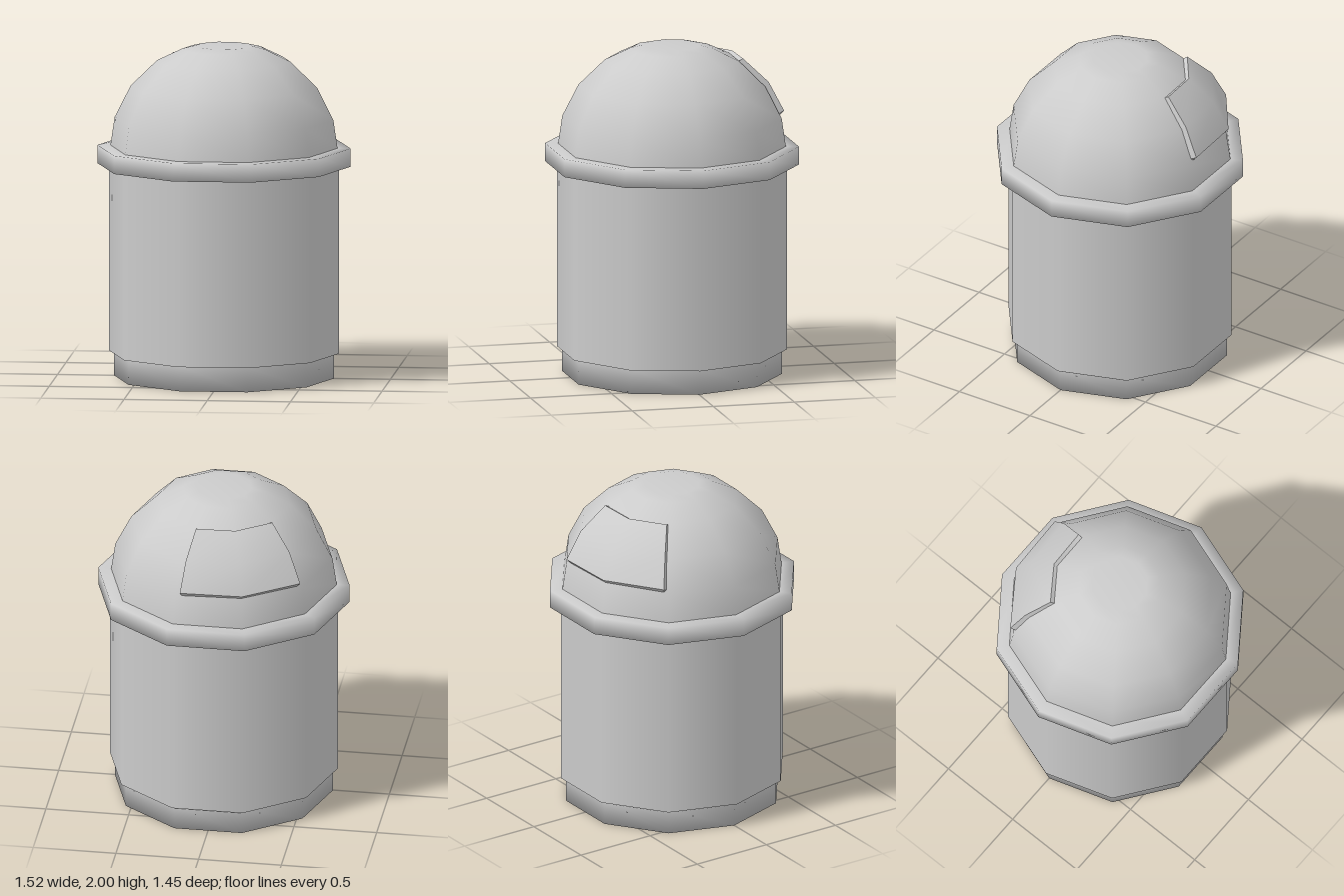
import * as THREE from 'three';
import { toCreasedNormals } from 'three/addons/utils/BufferGeometryUtils.js';

const material = new THREE.MeshStandardMaterial({ color: 0xcccccc });
const SIDES = 10;

// Ten-sided turned part, profile listed from bottom to top as [radius, y]
function turned(name, profile) {
  const points = profile.map(([r, y]) => new THREE.Vector2(r, y));
  const mesh = new THREE.Mesh(new THREE.LatheGeometry(points, SIDES, Math.PI / 2), material);
  mesh.name = name;
  return mesh;
}

// Raised panel on the dome: a grid whose border rows and columns sink into the dome
function raisedPanel() {
  const rows = [[0.63, 1.56], [0.67, 1.6], [0.578, 1.775], [0.425, 1.918], [0.38, 1.89]];
  const columns = [217, 218.5, 252, 284.5, 286];
  const n = columns.length;
  const positions = [];
  const index = [];
  rows.forEach(([r, y], i) => columns.forEach((degrees, j) => {
    const a = THREE.MathUtils.degToRad(degrees);
    const sunk = j === 0 || j === n - 1;
    const radius = r - (sunk ? 0.04 : 0);
    positions.push(radius * Math.cos(a), y - (sunk ? 0.02 : 0), radius * Math.sin(a));
    if (i < rows.length - 1 && j < n - 1) {
      const k = i * n + j;
      index.push(k, k + n, k + 1, k + 1, k + n, k + n + 1);
    }
  }));
  const geometry = new THREE.BufferGeometry();
  geometry.setAttribute('position', new THREE.Float32BufferAttribute(positions, 3));
  geometry.setIndex(index);
  const mesh = new THREE.Mesh(toCreasedNormals(geometry, 0.7), material);
  mesh.name = 'domePanel';
  return mesh;
}

export function createModel() {
  const model = new THREE.Group();
  model.name = 'domedCanister';
  model.add(
    // Foot, with its underside blended softly into the wall
    turned('base', [[0, 0], [0.66, 0], [0.66, 0.15]]),
    // Small overhang of the body above the foot
    turned('bodyUnderside', [[0.65, 0.15], [0.69, 0.15]]),
    turned('body', [[0.69, 0.15], [0.69, 1.3]]),
    turned('rim', [[0.67, 1.28], [0.76, 1.28], [0.76, 1.39], [0.67, 1.39]]),
    turned('dome', [[0.685, 1.37], [0.682, 1.39], [0.657, 1.56], [0.56, 1.752],
      [0.402, 1.907], [0.25, 1.98], [0.17, 2], [0, 2]]),
    raisedPanel()
  );
  return model;
}
